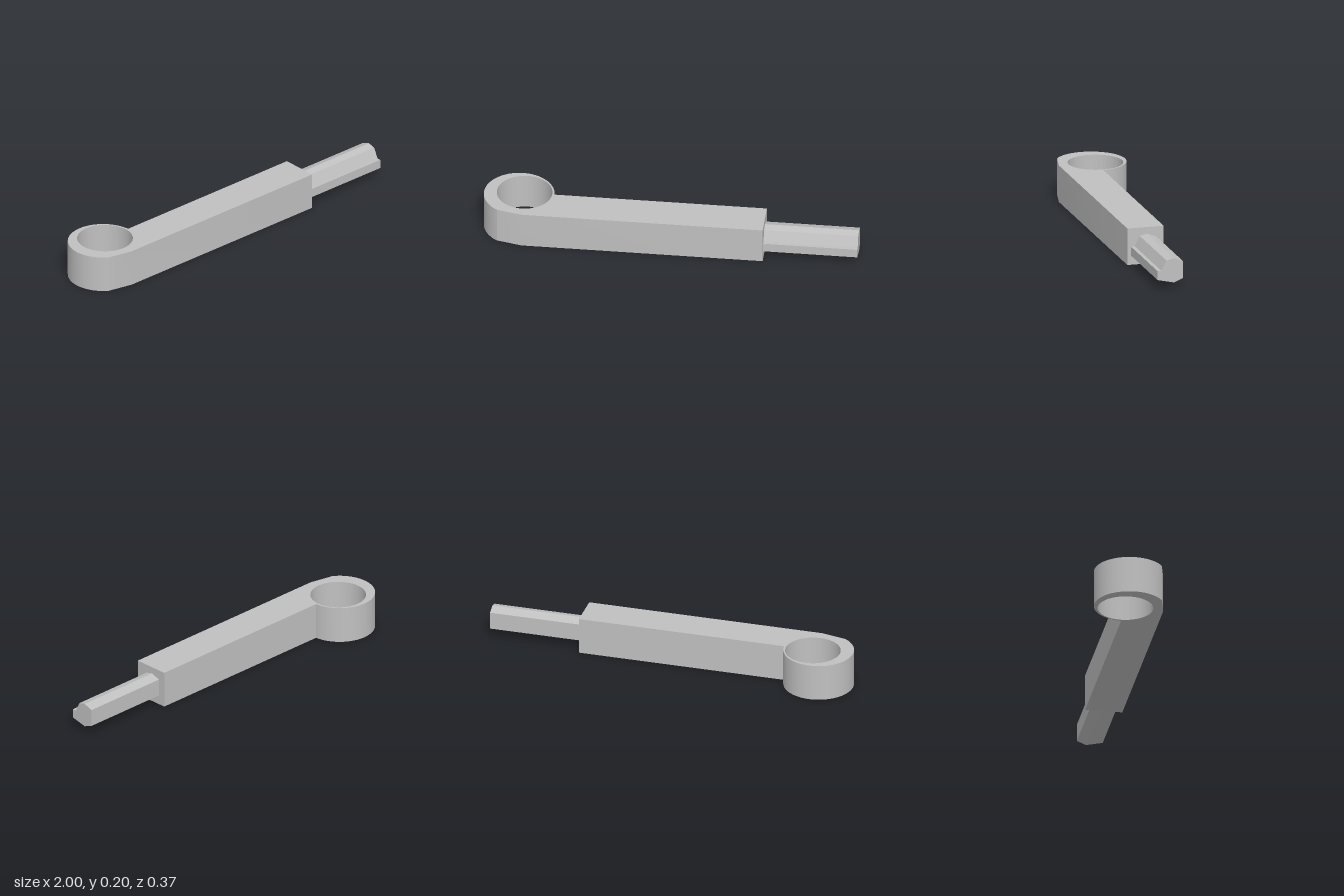
import * as THREE from 'three';
import { toCreasedNormals } from 'three/addons/utils/BufferGeometryUtils.js';

export function createModel() {
  const model = new THREE.Group();
  model.name = 'eyeEndedRod';
  const grey = new THREE.MeshStandardMaterial({ color: 0xc0c0c0 });
  grey.name = 'plain grey';

  const addPart = (name, shape, depth, orient) => {
    const geometry = new THREE.ExtrudeGeometry(shape, { depth, bevelEnabled: false, curveSegments: 48 });
    orient(geometry);
    const mesh = new THREE.Mesh(toCreasedNormals(geometry, 0.25), grey);
    mesh.name = name;
    model.add(mesh);
  };

  // Arm with a rounded eye, drawn in plan (shape y = -z)
  const arm = new THREE.Shape();
  arm.absarc(-0.813, 0, 0.187, 0.064, 4.14, false);
  arm.lineTo(-0.78, -0.187);
  arm.lineTo(0.5, -0.187);
  arm.lineTo(0.5, 0.012);
  arm.closePath();

  // The bore sits slightly off the eye's centre
  const bore = new THREE.Path();
  bore.absarc(-0.786, 0.016, 0.147, 0, Math.PI * 2, true);
  arm.holes.push(bore);
  addPart('armWithEye', arm, 0.2, (g) => g.rotateX(-Math.PI / 2));

  // Notched peg, section given as [z, y]
  const section = [
    [0.168, 0.051], [0.079, 0.031], [0.029, 0.051], [0.029, 0.145],
    [0.079, 0.164], [0.119, 0.154], [0.147, 0.1], [0.168, 0.1],
  ];
  const peg = new THREE.Shape(section.map(([z, y]) => new THREE.Vector2(-z, y)));
  addPart('notchedPeg', peg, 0.5, (g) => g.rotateY(Math.PI / 2).translate(0.5, 0, 0));

  return model;
}
